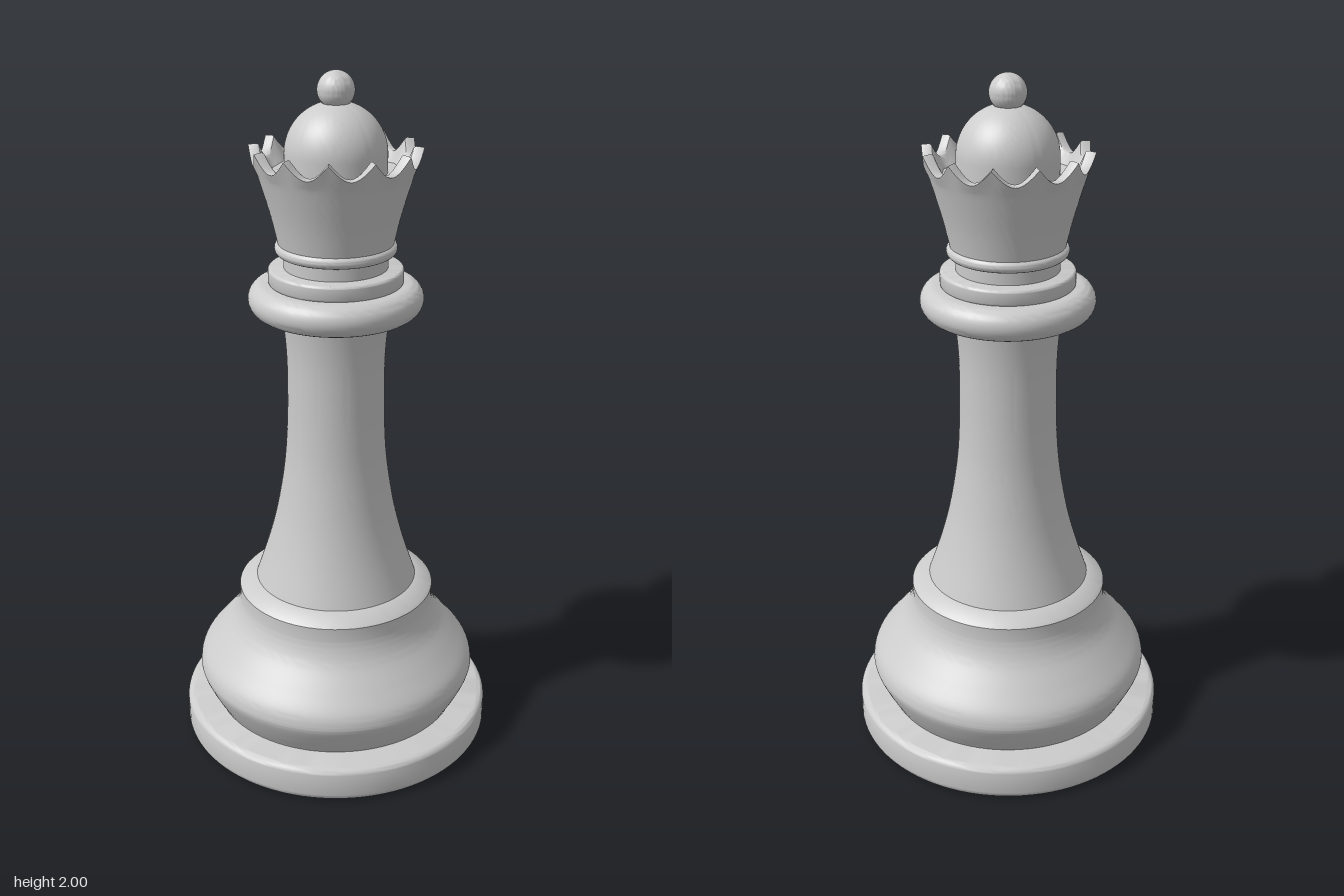
import * as THREE from 'three';
import { toCreasedNormals } from 'three/addons/utils/BufferGeometryUtils.js';

const SEGMENTS = 96;
const TEETH = 12;
const material = new THREE.MeshStandardMaterial({ color: 0xcccccc });
const v = (r, y) => new THREE.Vector2(r, y);

// Smooth profile through a few [radius, height] points
const curve = (points, divisions = 24) =>
  new THREE.SplineCurve(points.map(([r, y]) => v(r, y))).getPoints(divisions);

// Circular profile arc, angles in degrees (0 = outward, 90 = up)
function arc(r, y, radius, from, to, steps = 8) {
  return Array.from({ length: steps + 1 }, (_, i) => {
    const a = THREE.MathUtils.degToRad(from + ((to - from) * i) / steps);
    return v(Math.max(0, r + radius * Math.cos(a)), y + radius * Math.sin(a));
  });
}

function addMesh(group, name, geometry) {
  const mesh = new THREE.Mesh(geometry, material);
  mesh.name = name;
  group.add(mesh);
}

function addTurned(group, name, profile) {
  addMesh(group, name, toCreasedNormals(new THREE.LatheGeometry(profile, SEGMENTS), 0.6));
}

// Disc with rounded rims
const roundedDisc = (r, y0, y1, bevel) => [
  v(0, y0),
  ...arc(r - bevel, y0 + bevel, bevel, -90, 0, 6),
  ...arc(r - bevel, y1 - bevel, bevel, 0, 90, 6),
  v(0, y1),
];

// Flared cup whose rim is scalloped into pointed teeth
function crownGeometry() {
  const profile = [
    v(0.14, 1.53),
    ...curve([[0.16, 1.533], [0.178, 1.61], [0.204, 1.7], [0.22, 1.75], [0.237, 1.8]], 16),
    v(0.215, 1.803),
    ...curve([[0.208, 1.8], [0.192, 1.765], [0.176, 1.735]], 6),
    v(0.12, 1.73),
  ];
  const geometry = new THREE.LatheGeometry(profile, TEETH * 12);
  const p = geometry.attributes.position;
  for (let i = 0; i < p.count; i++) {
    const angle = Math.atan2(p.getZ(i), p.getX(i));
    const weight = THREE.MathUtils.clamp((p.getY(i) - 1.73) / 0.07, 0, 1);
    const notch = Math.abs(Math.cos((angle * TEETH) / 2));
    p.setY(i, p.getY(i) - 0.045 * notch * weight);
    // the rim narrows slightly as it is cut lower
    const scale = 1 - 0.05 * notch * weight;
    p.setX(i, p.getX(i) * scale);
    p.setZ(i, p.getZ(i) * scale);
  }
  return toCreasedNormals(geometry, 0.6);
}

export function createModel() {
  const group = new THREE.Group();
  group.name = 'chessPiece';

  // Foot and bulging pedestal
  addTurned(group, 'foot', roundedDisc(0.463, 0, 0.105, 0.022));
  addTurned(group, 'pedestal', [
    v(0.36, 0.1),
    v(0.37, 0.105),
    ...curve([[0.372, 0.11], [0.394, 0.15], [0.415, 0.197], [0.417, 0.222], [0.405, 0.255],
      [0.365, 0.305], [0.32, 0.36], [0.299, 0.4], [0.291, 0.43]], 40),
    v(0.291, 0.472),
    v(0.283, 0.48),
    v(0.238, 0.502),
    v(0, 0.502),
  ]);

  // Concave shaft
  addTurned(group, 'shaft', curve([[0.24, 0.498], [0.206, 0.6], [0.179, 0.7], [0.16, 0.8],
    [0.147, 0.9], [0.141, 1.0], [0.139, 1.1], [0.14, 1.2], [0.146, 1.28], [0.156, 1.35]], 40));

  // Collar, step and neck
  addTurned(group, 'collar', [v(0, 1.33), ...arc(0.2, 1.377, 0.046, -90, 90, 16), v(0, 1.423)]);
  addTurned(group, 'collarStep', roundedDisc(0.189, 1.42, 1.466, 0.008));
  addTurned(group, 'neck', [v(0.145, 1.46), v(0.145, 1.52)]);
  addTurned(group, 'neckRing', [v(0, 1.504), ...arc(0.153, 1.521, 0.017, -90, 90, 10), v(0, 1.538)]);

  // Crown, dome and finial
  addMesh(group, 'crown', crownGeometry());
  addTurned(group, 'dome', [v(0.14, 1.725), ...arc(0, 1.78, 0.14, 0, 90, 20)]);
  addTurned(group, 'finial', arc(0, 1.949, 0.051, -90, 90, 20));

  return group;
}
